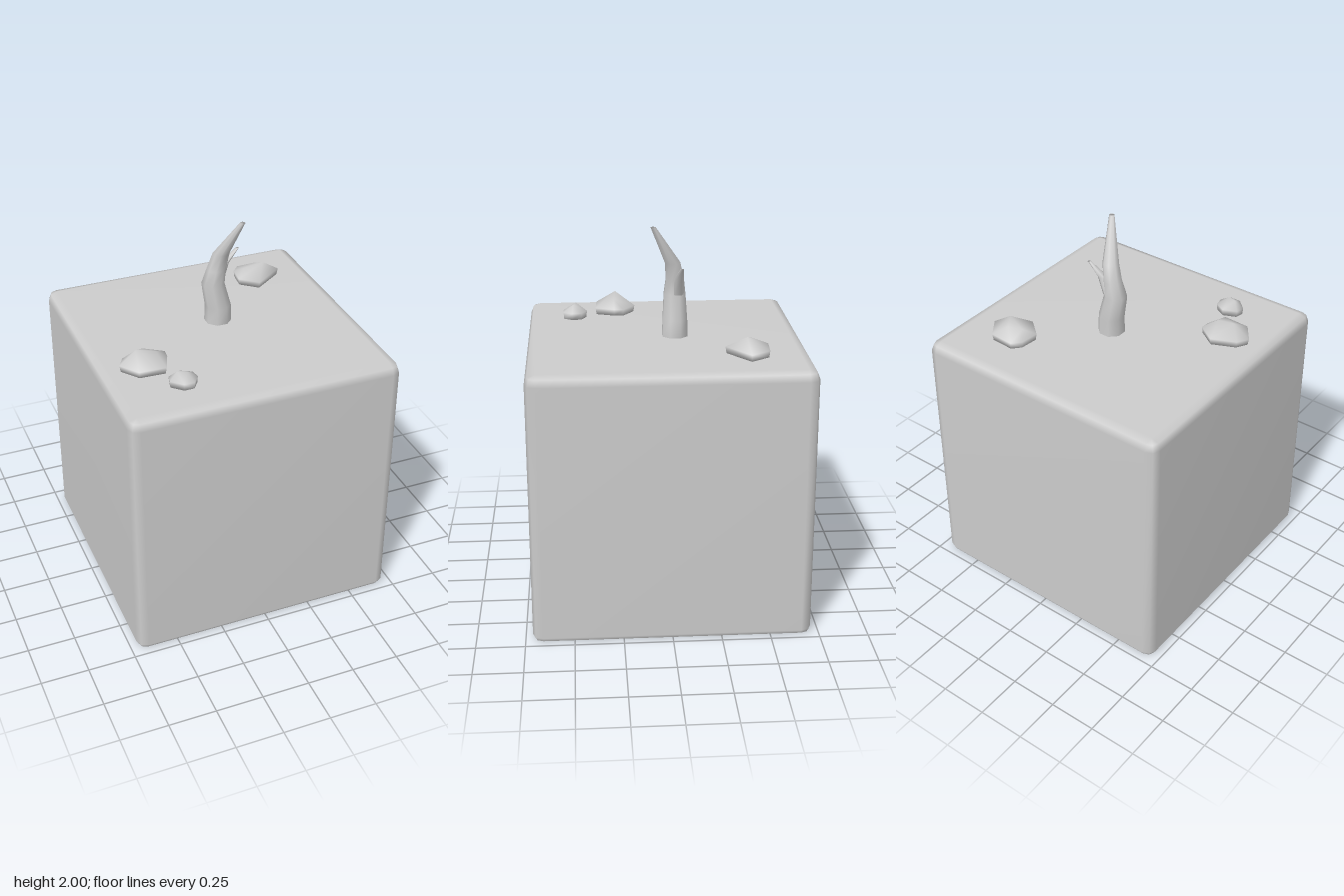
import * as THREE from 'three';
import { mergeVertices } from 'three/addons/utils/BufferGeometryUtils.js';
import { ConvexGeometry } from 'three/addons/geometries/ConvexGeometry.js';

const TOP = 1.41; // height of the block's upper face

// Skin through rings of [x, y, z] points (counter-clockwise from above), capped on top, open below
function loft(rings) {
  const n = rings[0].length, index = [];
  for (let r = 0; r < rings.length - 1; r++) {
    for (let i = 0; i < n; i++) {
      const a = r * n + i, b = r * n + (i + 1) % n;
      index.push(a, b, b + n, a, b + n, a + n);
    }
  }
  const last = (rings.length - 1) * n;
  for (let i = 1; i < n - 1; i++) index.push(last, last + i, last + i + 1);
  let geo = new THREE.BufferGeometry();
  geo.setAttribute('position', new THREE.Float32BufferAttribute(rings.flat(2), 3));
  geo.setIndex(index);
  geo = mergeVertices(geo, 1e-5);
  geo.computeVertexNormals();
  return geo;
}

// Square ring with bevelled corners, reaching out to half-width h
function squareRing(y, h) {
  const core = 0.66, b = h - core, m = core + b * 0.72, ring = [];
  for (let k = 0; k < 4; k++) {
    const c = Math.round(Math.cos(k * Math.PI / 2)), s = Math.round(Math.sin(k * Math.PI / 2));
    for (const [u, v] of [[h, core], [m, m], [core, h]]) {
      ring.push([u * c - v * s, y, -(u * s + v * c)]);
    }
  }
  return ring;
}

// Round horizontal ring for the branches
function roundRing([x, y, z, r], sides) {
  return Array.from({ length: sides }, (_, i) => {
    const a = (i + 0.5) / sides * Math.PI * 2;
    return [x + r * Math.cos(a), y, z - r * Math.sin(a)];
  });
}

// Faceted pebble: an outline of [x, z] at its widest height, with a few peaks
function rockGeometry(outline, peaks, waist) {
  const cx = outline.reduce((s, p) => s + p[0], 0) / outline.length;
  const cz = outline.reduce((s, p) => s + p[1], 0) / outline.length;
  const pts = peaks.map(p => new THREE.Vector3(...p));
  for (const [x, z] of outline) {
    pts.push(new THREE.Vector3(x, waist, z));
    pts.push(new THREE.Vector3(cx + (x - cx) * 0.95, TOP, cz + (z - cz) * 0.95));
  }
  let geo = new ConvexGeometry(pts);
  geo.deleteAttribute('normal');
  geo = mergeVertices(geo, 1e-5);
  geo.computeVertexNormals();
  return geo;
}

export function createModel() {
  const group = new THREE.Group();
  const grey = new THREE.MeshStandardMaterial({ color: 0xcccccc, side: THREE.DoubleSide });
  grey.name = 'plain grey';
  const add = (name, geo) => {
    const mesh = new THREE.Mesh(geo, grey);
    mesh.name = name;
    group.add(mesh);
  };

  // Ground block: bevelled box, open underneath
  add('groundBlock', loft([
    [0, 0.703], [0.02, 0.714], [1.36, 0.714], [1.396, 0.7], [TOP, 0.66],
  ].map(([y, h]) => squareRing(y, h))));

  // Bare crooked trunk and its twig: x, y, z, radius
  add('trunk', loft([
    [0.032, TOP, -0.055, 0.071], [0.032, 1.5, -0.055, 0.068], [0.005, 1.63, -0.055, 0.06],
    [0.024, 1.71, -0.055, 0.05], [0.045, 1.8, -0.042, 0.043], [0.117, 2, 0.062, 0.014],
  ].map(p => roundRing(p, 8))));
  add('twig', loft([
    [0.03, 1.63, -0.068, 0.036], [0.075, 1.725, -0.073, 0.024], [0.15, 1.79, -0.083, 0.009],
  ].map(p => roundRing(p, 6))));

  // Pebbles on the ground
  add('leftRock', rockGeometry(
    [[0.33, -0.505], [0.46, -0.497], [0.53, -0.398], [0.37, -0.283], [0.28, -0.36], [0.29, -0.46]],
    [[0.43, 1.51, -0.385], [0.33, 1.48, -0.41], [0.4, 1.485, -0.44]], 1.445));
  add('rightRock', rockGeometry(
    [[-0.575, 0.19], [-0.45, 0.135], [-0.355, 0.2], [-0.36, 0.25], [-0.4, 0.352], [-0.54, 0.345], [-0.61, 0.25]],
    [[-0.52, 1.51, 0.24], [-0.42, 1.487, 0.25]], 1.445));
  add('smallRock', rockGeometry(
    [[-0.35, 0.4], [-0.295, 0.43], [-0.287, 0.48], [-0.32, 0.528], [-0.375, 0.528], [-0.43, 0.475], [-0.42, 0.43]],
    [[-0.385, 1.484, 0.46], [-0.34, 1.481, 0.475]], 1.445));

  return group;
}
